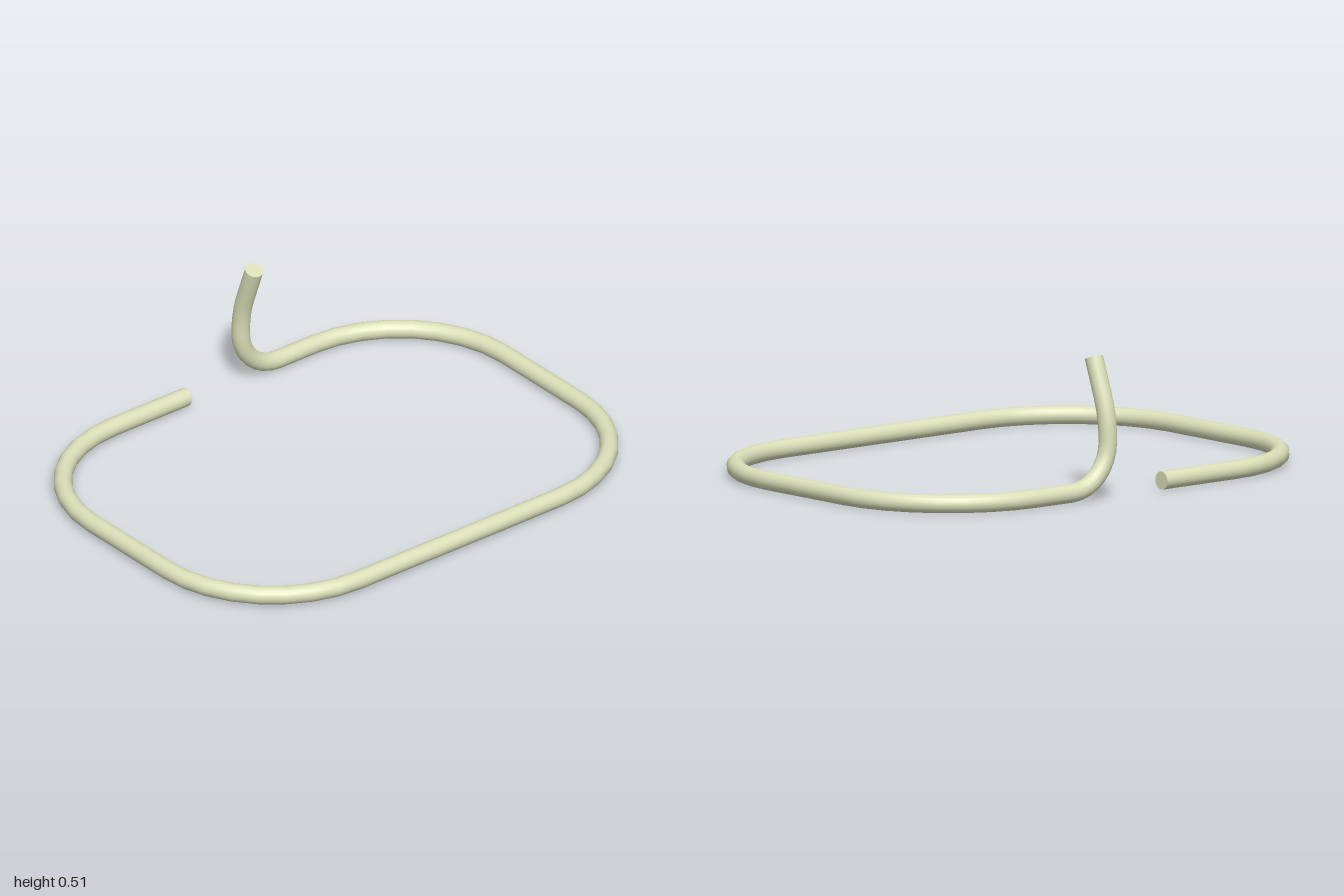
import * as THREE from 'three';

const RADIUS = 0.033;
const SIDES = 20;
const HALF_LONG = 0.94, HALF_SHORT = 0.69, CORNER = 0.48;
const GAP = 0.125;            // half the opening in the back side
const BEND = 0.17;            // bend from the loop into the upright
const LEAN = THREE.MathUtils.degToRad(20);
const LEAN_RADIUS = 0.468;
const TURN = THREE.MathUtils.degToRad(40); // loop is turned about y

// Curve through listed points, one ring per point, mitred at each joint
class WirePath extends THREE.Curve {
  constructor(points) {
    super();
    this.points = points;
  }
  getPointAt(t, target = new THREE.Vector3()) {
    return target.copy(this.points[Math.round(t * (this.points.length - 1))]);
  }
  getTangentAt(t, target = new THREE.Vector3()) {
    const p = this.points, i = Math.round(t * (p.length - 1));
    target.set(0, 0, 0);
    if (i > 0) target.add(p[i].clone().sub(p[i - 1]).normalize());
    if (i < p.length - 1) target.add(p[i + 1].clone().sub(p[i]).normalize());
    return target.normalize();
  }
}

function wirePoints() {
  const points = [];
  const add = (x, y, z) => points.push(new THREE.Vector3(x, y, z));
  const cx = HALF_LONG - CORNER, cz = HALF_SHORT - CORNER;

  // Flat loop: free end, then the four rounded corners
  add(-GAP, RADIUS, -HALF_SHORT);
  const corners = [[-cx, -cz, 270], [-cx, cz, 180], [cx, cz, 90], [cx, -cz, 0]];
  for (const [x, z, start] of corners) {
    for (let i = 0; i <= 8; i++) {
      const a = THREE.MathUtils.degToRad(start - (90 * i) / 8);
      add(x + CORNER * Math.cos(a), RADIUS, z + CORNER * Math.sin(a));
    }
  }

  // Bend upwards
  const bendY = RADIUS + BEND;
  for (let i = 0; i <= 8; i++) {
    const a = (Math.PI / 2) * (i / 8);
    add(GAP + BEND - BEND * Math.sin(a), bendY - BEND * Math.cos(a), -HALF_SHORT);
  }

  // Upright leaning in over the loop, ending straight
  for (let i = 1; i <= 5; i++) {
    const a = (LEAN * i) / 5;
    add(GAP, bendY + LEAN_RADIUS * Math.sin(a), -HALF_SHORT + LEAN_RADIUS * (1 - Math.cos(a)));
  }
  const last = points[points.length - 1];
  add(GAP, last.y + 0.14 * Math.cos(LEAN), last.z + 0.14 * Math.sin(LEAN));
  return points;
}

export function createModel() {
  const group = new THREE.Group();
  group.name = 'bentWireHook';
  const material = new THREE.MeshStandardMaterial({ color: 0xdadfb8 });
  const path = new WirePath(wirePoints());

  // Round rod
  const rod = new THREE.Mesh(
    new THREE.TubeGeometry(path, path.points.length - 1, RADIUS, SIDES, false), material);
  rod.name = 'rod';
  group.add(rod);

  // Flat end caps
  for (const [name, t, sign] of [['loopEndCap', 0, -1], ['uprightEndCap', 1, 1]]) {
    const cap = new THREE.Mesh(new THREE.CircleGeometry(RADIUS, SIDES), material);
    cap.name = name;
    cap.position.copy(path.getPointAt(t));
    cap.quaternion.setFromUnitVectors(
      new THREE.Vector3(0, 0, 1), path.getTangentAt(t).multiplyScalar(sign));
    group.add(cap);
  }

  group.rotation.y = TURN;
  return group;
}
